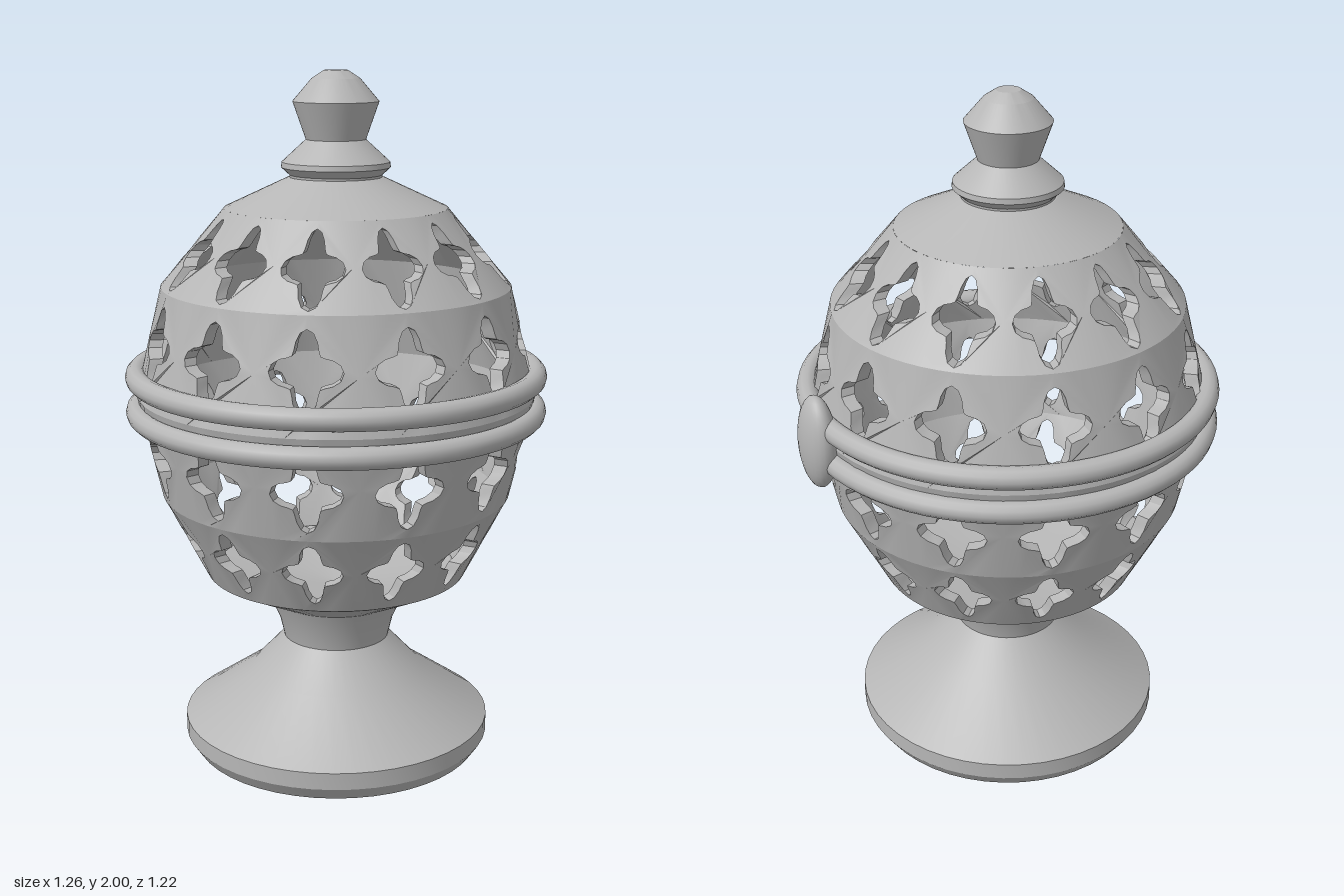
import * as THREE from 'three';
import { mergeGeometries, toCreasedNormals } from 'three/addons/utils/BufferGeometryUtils.js';

const WALL = 0.04, HOLES = 12, CREASE = 0.3;

// Turned part from [radius, height] points, sharp at the profile corners
function turned(points, segments = 48) {
  const profile = points.map(([r, y]) => new THREE.Vector2(r, y));
  return toCreasedNormals(new THREE.LatheGeometry(profile, segments), CREASE);
}

// Conical band of the shell pierced by a ring of four-lobed holes.
// Drawn flat as (angle, height, depth), then wrapped around the axis.
function piercedBand({ y0, r0, y1, r1, holeY, halfW, halfH }) {
  const radius = y => r0 + (r1 - r0) * (y - y0) / (y1 - y0);
  const half = Math.PI / HOLES, steps = 6;
  const outline = [];
  for (let i = 0; i <= steps; i++) outline.push(new THREE.Vector2(-half + 2 * half * i / steps, y0));
  outline.push(new THREE.Vector2(half, (y0 + y1) / 2));
  for (let i = steps; i >= 0; i--) outline.push(new THREE.Vector2(-half + 2 * half * i / steps, y1));
  outline.push(new THREE.Vector2(-half, (y0 + y1) / 2));

  const hole = [];
  for (let i = 0; i < 32; i++) {
    const t = -i / 32 * Math.PI * 2;
    const k = 0.77 + 0.23 * Math.cos(4 * t);
    hole.push(new THREE.Vector2(k * Math.cos(t) * halfW / radius(holeY), holeY + k * Math.sin(t) * halfH));
  }
  const shape = new THREE.Shape(outline);
  shape.holes.push(new THREE.Path(hole));
  const flat = new THREE.ExtrudeGeometry(shape, { depth: 1, bevelEnabled: false, steps: 1 });

  // Keep both faces and the hole walls, drop the walls along the outer outline
  const src = Array.from(flat.attributes.position.array);
  const side = flat.groups[1].start;
  src.splice(side * 3, outline.length * 6 * 3);

  const sectors = [];
  for (let s = 0; s < HOLES; s++) {
    const turn = (2 * s + 1) * half;
    const pos = new Float32Array(src.length);
    for (let i = 0; i < src.length; i += 3) {
      const a = src[i] + turn, y = src[i + 1];
      const r = radius(y) - (1 - src[i + 2]) * WALL;
      pos.set([r * Math.sin(a), y, r * Math.cos(a)], i);
    }
    const g = new THREE.BufferGeometry();
    g.setAttribute('position', new THREE.BufferAttribute(pos, 3));
    sectors.push(g);
  }
  return toCreasedNormals(mergeGeometries(sectors), 0.5);
}

export function createModel() {
  const model = new THREE.Group();
  model.name = 'piercedCenser';
  const metal = new THREE.MeshStandardMaterial({ color: 0xb6b6b6 });
  metal.name = 'grey metal';
  const axis = new THREE.Group();
  axis.name = 'vessel';
  axis.position.x = -0.02;
  model.add(axis);

  const add = (name, geometry) => {
    const mesh = new THREE.Mesh(geometry, metal);
    mesh.name = name;
    axis.add(mesh);
    return mesh;
  };

  // Foot, stem and bowl floor
  add('footAndBowl', turned([
    [0, 0], [0.43, 0], [0.457, 0.04], [0.457, 0.09], [0.255, 0.23], [0.157, 0.335],
    [0.17, 0.39], [0.198, 0.455], [0.384, 0.545], [0.344, 0.56], [0, 0.49],
  ]));

  // Pierced shell, bottom to top
  const bands = [
    { y0: 0.545, r0: 0.384, y1: 0.79, r1: 0.51, holeY: 0.672, halfW: 0.085, halfH: 0.1 },
    { y0: 0.79, r0: 0.51, y1: 1.09, r1: 0.578, holeY: 0.925, halfW: 0.1, halfH: 0.11 },
    { y0: 1.09, r0: 0.578, y1: 1.4, r1: 0.502, holeY: 1.255, halfW: 0.1, halfH: 0.11 },
    { y0: 1.4, r0: 0.502, y1: 1.62, r1: 0.318, holeY: 1.505, halfW: 0.087, halfH: 0.096 },
  ];
  bands.forEach((band, i) => add('piercedBand' + (i + 1), piercedBand(band)));

  // Lid cap with its inner ceiling
  add('lidCap', turned([[0, 1.68], [0.278, 1.61], [0.318, 1.62], [0.135, 1.705], [0, 1.72]]));

  // Finial knob
  add('finial', turned([
    [0.13, 1.695], [0.132, 1.712], [0.155, 1.733], [0.153, 1.748], [0.085, 1.81],
    [0.122, 1.915], [0.068, 1.978], [0.034, 2], [0, 2],
  ]));

  // Twin rings around the seam
  for (const [name, y] of [['lowerRing', 1.04], ['upperRing', 1.143]]) {
    const ring = add(name, new THREE.TorusGeometry(0.578, 0.032, 12, 72));
    ring.rotation.x = Math.PI / 2;
    ring.position.y = y;
  }

  // Oval clasp on the left side
  const clasp = add('clasp', new THREE.SphereGeometry(1, 24, 16));
  clasp.scale.set(0.05, 0.14, 0.082);
  clasp.position.set(0.598, 1.09, 0);

  return model;
}
